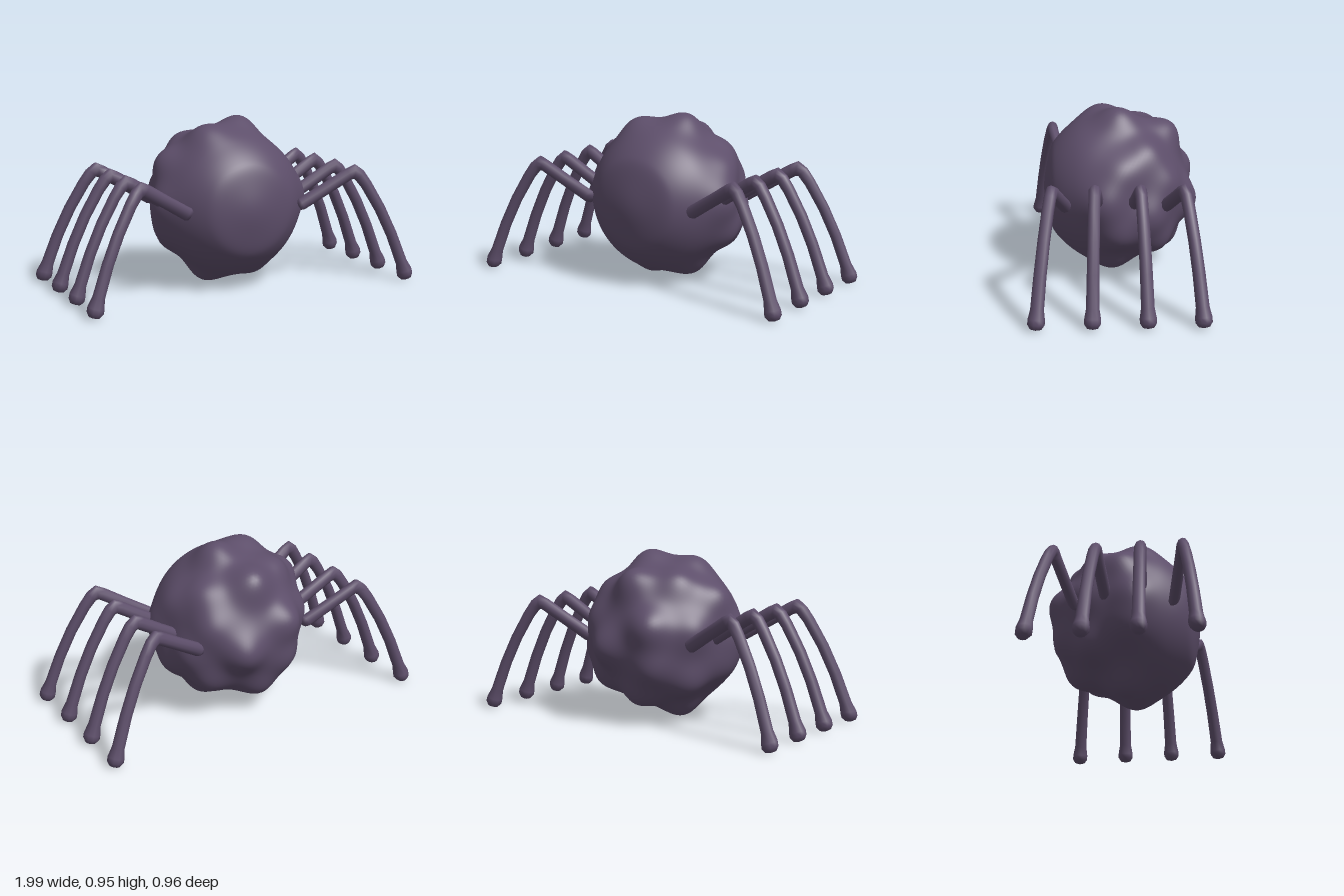
import * as THREE from 'three';
import { mergeVertices } from 'three/addons/utils/BufferGeometryUtils.js';

const plum = new THREE.MeshStandardMaterial({ color: 0x5d4e6a });
plum.name = 'dusky plum';

const CENTER = new THREE.Vector3(0, 0.48, -0.02);

// Peaks of the lumps on the body
const LUMPS = [
  [0.11, 0.955, -0.04], [-0.17, 0.92, 0.06], [0.02, 0.85, -0.335], [-0.22, 0.84, -0.2],
  [0.29, 0.77, -0.2], [-0.4, 0.74, -0.04], [0.4, 0.68, -0.05], [-0.17, 0.58, -0.445],
  [0.15, 0.43, -0.46], [0.31, 0.59, -0.32], [-0.37, 0.55, -0.24], [-0.16, 0.32, -0.41],
  [-0.03, 0.13, -0.33], [0.29, 0.21, -0.26], [-0.31, 0.22, -0.22], [-0.13, 0.02, -0.03],
  [0.19, 0.05, 0], [0.42, 0.28, -0.03], [-0.42, 0.31, 0], [0.4, 0.4, -0.22],
  [-0.465, 0.5, 0.05], [0.465, 0.5, 0.06],
].map((p) => new THREE.Vector3(...p).sub(CENTER));

// Radius without lumps: fuller at the front, slightly flat on the face
function baseRadius(n) {
  return 0.397 + 0.042 * THREE.MathUtils.smoothstep(n.z, -0.2, 0.55)
    - 0.026 * THREE.MathUtils.smoothstep(n.z, 0.8, 1);
}

// Sphere pushed outward by soft bumps
function lumpyBody() {
  let geo = new THREE.IcosahedronGeometry(1, 24);
  geo.deleteAttribute('normal');
  geo.deleteAttribute('uv');
  geo = mergeVertices(geo);
  const bumps = LUMPS.map((p) => {
    const dir = p.clone().normalize();
    return { dir, height: p.length() - baseRadius(dir) };
  });
  const pos = geo.attributes.position;
  const n = new THREE.Vector3();
  for (let i = 0; i < pos.count; i++) {
    n.fromBufferAttribute(pos, i).normalize();
    let r = baseRadius(n);
    for (const b of bumps) {
      const angle = n.angleTo(b.dir);
      r += b.height * Math.exp(-((angle / 0.28) ** 2));
    }
    n.multiplyScalar(r).add(CENTER);
    pos.setXYZ(i, n.x, n.y, n.z);
  }
  geo.computeVertexNormals();
  return geo;
}

// Leg stations: distance out, height, half height, half width
const LEG = [
  [0.333, 0.464, 0, 0], [0.335, 0.465, 0.03, 0.026], [0.352, 0.475, 0.038, 0.034],
  [0.5, 0.563, 0.036, 0.034], [0.62, 0.635, 0.037, 0.034], [0.65, 0.648, 0.043, 0.034],
  [0.68, 0.628, 0.036, 0.033], [0.72, 0.572, 0.033, 0.033], [0.8, 0.43, 0.032, 0.033],
  [0.87, 0.275, 0.032, 0.034], [0.93, 0.11, 0.034, 0.036], [0.947, 0.06, 0.046, 0.045],
  [0.953, 0.035, 0.046, 0.045], [0.96, 0.013, 0.03, 0.03], [0.961, 0.006, 0, 0],
];

// Rings lofted along a bent leg on one side
function legGeometry(side, rootZ, kneeZ, footZ) {
  const sides = 10;
  const points = LEG.map(([x, y]) => {
    const z = x < 0.65
      ? THREE.MathUtils.mapLinear(x, 0.33, 0.65, rootZ, kneeZ)
      : THREE.MathUtils.mapLinear(x, 0.65, 0.95, kneeZ, footZ);
    return new THREE.Vector3(side * x, y, z);
  });
  const across = new THREE.Vector3(rootZ - footZ, 0, side * 0.62).normalize();
  // Keep the horizontal axis square to the slanted leg
  across.x *= side;
  const verts = [], index = [];
  points.forEach((p, i) => {
    const a = points[Math.max(i - 1, 0)], b = points[Math.min(i + 1, points.length - 1)];
    const along = b.clone().sub(a).normalize();
    const up = across.clone().cross(along).normalize();
    const [, , tall, wide] = LEG[i];
    for (let j = 0; j < sides; j++) {
      const t = (j / sides) * Math.PI * 2;
      const v = p.clone().addScaledVector(up, tall * Math.cos(t)).addScaledVector(across, wide * Math.sin(t));
      verts.push(v.x, v.y, v.z);
      if (i < points.length - 1) {
        const k = i * sides, j2 = (j + 1) % sides;
        index.push(k + j, k + j2, k + sides + j, k + j2, k + sides + j2, k + sides + j);
      }
    }
  });
  const geo = new THREE.BufferGeometry();
  geo.setAttribute('position', new THREE.Float32BufferAttribute(verts, 3));
  geo.setIndex(index);
  geo.computeVertexNormals();
  return geo;
}

export function createModel() {
  const model = new THREE.Group();
  model.name = 'lumpySpider';
  const add = (geo, name) => {
    const mesh = new THREE.Mesh(geo, plum);
    mesh.name = name;
    model.add(mesh);
  };

  add(lumpyBody(), 'body');

  // Four pairs of legs
  const pairs = [
    ['front', 0.27, 0.345, 0.432], ['midFront', 0.09, 0.12, 0.142],
    ['midBack', -0.095, -0.12, -0.145], ['back', -0.275, -0.35, -0.432],
  ];
  for (const [name, root, knee, foot] of pairs) {
    add(legGeometry(1, root, knee, foot), name + 'LeftLeg');
    add(legGeometry(-1, root, knee, foot), name + 'RightLeg');
  }
  return model;
}
